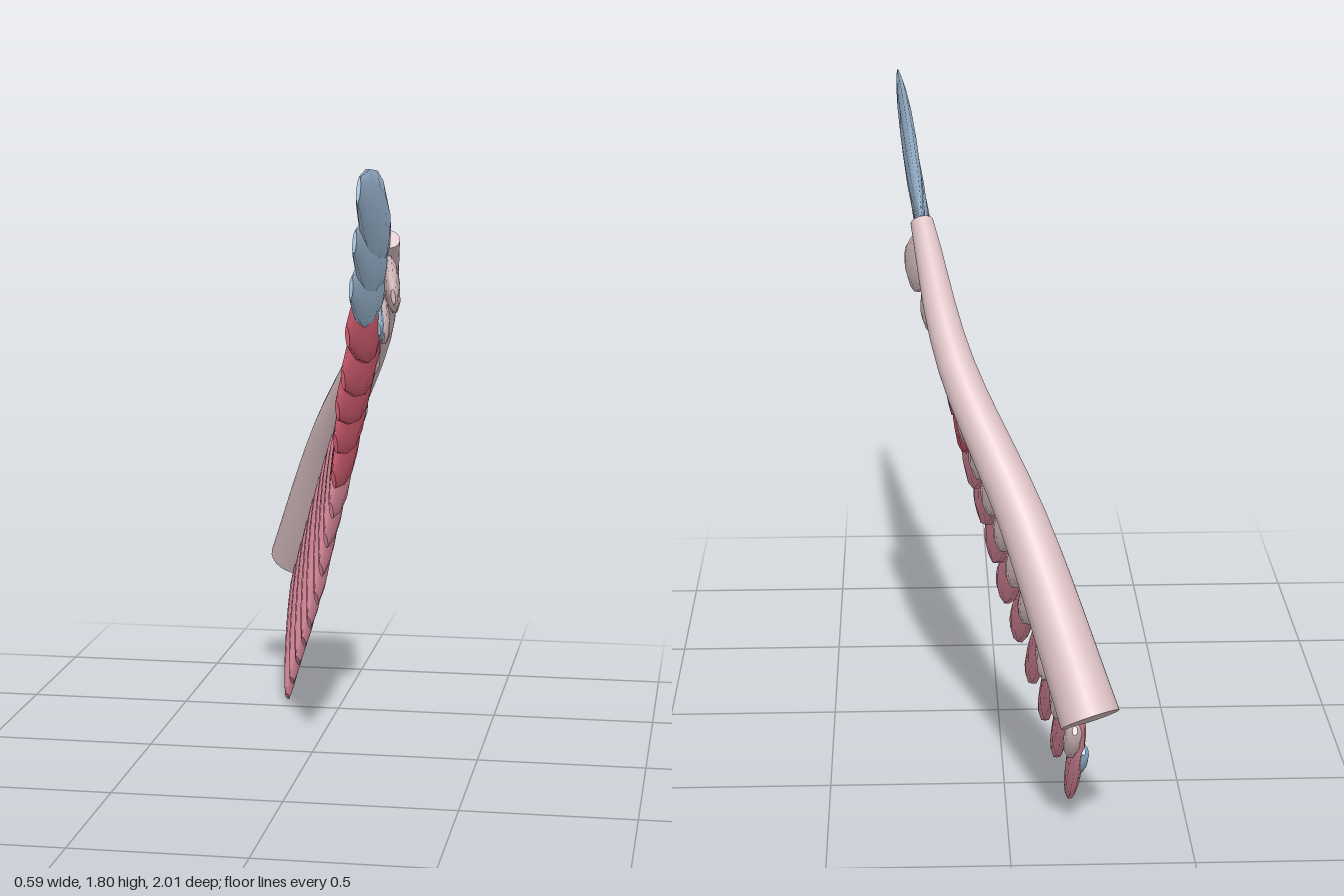
import * as THREE from 'three';

const V = (x, y, z) => new THREE.Vector3(x, y, z);
const mat = (name, color) => {
  const m = new THREE.MeshStandardMaterial({ color });
  m.name = name;
  return m;
};

// Skin between rings of points, closed by flat caps
function loft(rings) {
  const pos = [], idx = [], n = rings[0].length;
  rings.forEach(r => r.forEach(p => pos.push(p.x, p.y, p.z)));
  for (let i = 0; i < rings.length - 1; i++) {
    for (let j = 0; j < n; j++) {
      const a = i * n + j, b = i * n + (j + 1) % n;
      idx.push(a, b, b + n, a, b + n, a + n);
    }
  }
  [rings[0], rings[rings.length - 1]].forEach((r, end) => {
    const s = pos.length / 3;
    r.forEach(p => pos.push(p.x, p.y, p.z));
    for (let j = 1; j < n - 1; j++) {
      if (end) idx.push(s, s + j, s + j + 1);
      else idx.push(s, s + j + 1, s + j);
    }
  });
  const g = new THREE.BufferGeometry();
  g.setAttribute('position', new THREE.Float32BufferAttribute(pos, 3));
  g.setIndex(idx);
  g.computeVertexNormals();
  return g;
}

// Elliptical ring about direction d: n is the thickness axis, w the width axis
function ring(center, d, side, thick, width, count) {
  const n = side.clone().addScaledVector(d, -side.dot(d)).normalize();
  const w = d.clone().cross(n);
  return Array.from({ length: count }, (_, j) => {
    const t = j / count * Math.PI * 2;
    return center.clone().addScaledVector(n, Math.cos(t) * thick).addScaledVector(w, Math.sin(t) * width);
  });
}

// Station along the feather, share of full width, share of full thickness
const PROFILE = [[0, 0.25, 0.3], [0.1, 0.52, 0.65], [0.2, 0.76, 0.9], [0.4, 1, 1],
  [0.6, 0.97, 0.95], [0.8, 0.72, 0.75], [0.93, 0.43, 0.5], [1, 0.27, 0.25]];

function feather(root, tip, width, thick, bow, tilt) {
  const d = tip.clone().sub(root).normalize();
  const side = V(1, tilt, 0);
  const n = side.clone().addScaledVector(d, -side.dot(d)).normalize();
  const w = d.clone().cross(n);
  return loft(PROFILE.map(([s, pw, pt]) => {
    const c = root.clone().lerp(tip, s).addScaledVector(w, bow * Math.sin(Math.PI * s));
    return ring(c, d, side, thick / 2 * pt, width / 2 * pw, 10);
  }));
}

export function createModel() {
  const wing = new THREE.Group();
  wing.name = 'wing';
  const pale = mat('pale pink', 0xdcc1c4);
  const blue = mat('light blue', 0xa1bdd8);
  const red = mat('rose red', 0xcb596c);
  const pink = mat('pink', 0xd58698);
  const add = (parent, name, geo, m) => {
    const mesh = new THREE.Mesh(geo, m);
    mesh.name = name;
    parent.add(mesh);
  };
  const group = name => {
    const g = new THREE.Group();
    g.name = name;
    wing.add(g);
    return g;
  };

  // Tapered, bowed leading edge, running from tip end to shoulder
  const arm = new THREE.CatmullRomCurve3([V(0.22, 1.565, -0.035), V(0.135, 1.25, -0.355),
    V(-0.05, 0.87, -0.665), V(-0.215, 0.415, -0.935)]);
  const armRings = [];
  for (let i = 0; i <= 16; i++) {
    const t = i / 16, r = 0.033 + 0.05 * Math.pow(t, 0.8);
    armRings.push(ring(arm.getPointAt(t), arm.getTangentAt(t), V(1, 0, 0), r, r, 24));
  }
  add(wing, 'leadingEdge', loft(armRings), pale);

  // Flight feathers: tip x, y, z from the top down
  const tips = [[0.287, 1.78, 1], [0.262, 1.64, 0.9], [0.238, 1.51, 0.8], [0.213, 1.37, 0.7],
    [0.186, 1.24, 0.6], [0.165, 1.15, 0.565], [0.143, 1.04, 0.46], [0.122, 0.92, 0.36],
    [0.097, 0.81, 0.25], [0.065, 0.70, 0.15], [0.034, 0.59, 0.05], [0.003, 0.48, -0.05],
    [-0.035, 0.38, -0.145], [-0.075, 0.285, -0.28], [-0.11, 0.2, -0.37], [-0.143, 0.115, -0.45],
    [-0.178, 0.03, -0.565]];
  const flight = group('flightFeathers');
  tips.forEach((p, i) => {
    const u = i / 16;
    const root = arm.getPointAt(u * 0.98).add(V(0.01 * u, -0.01 - 0.02 * u, 0.01 + 0.03 * u));
    const width = i === 0 ? 0.25 : 0.225 - 0.05 * u;
    const bow = i === 0 ? 0 : -0.015 - 0.015 * u;
    add(flight, 'flightFeather' + (i + 1),
      feather(root, V(...p), width, 0.045, bow, i < 3 ? -0.05 : 0.1),
      i < 3 ? blue : i < 8 ? red : pink);
  });

  // Coverts on the outer face: first and last base and tip as [z, y]
  const outer = (z, y, off) => V(-0.156 + 0.244 * y + 0.157 * z + off, y, z);
  const mix = THREE.MathUtils.lerp;
  const rows = [
    { count: 3, base: [[-0.18, 1.45], [-0.32, 1.24]], tip: [[0.18, 1.42], [-0.03, 1.18]], width: [0.165, 0.11], shift: [-0.04, -0.1] },
    { count: 6, base: [[-0.46, 1.09], [-0.735, 0.67]], tip: [[-0.145, 1.03], [-0.49, 0.57]], width: [0.15, 0.12], shift: [0.035, -0.035] },
    { count: 3, base: [[-0.75, 0.58], [-0.93, 0.38]], tip: [[-0.66, 0.43], [-0.76, 0.25]], width: [0.15, 0.1], shift: [0.025, -0.065] },
  ];
  const coverts = group('coverts');
  rows.forEach(({ count, base, tip, width, shift }) => {
    for (let i = 0; i < count; i++) {
      const t = i / (count - 1);
      const bz = mix(base[0][0], base[1][0], t), by = mix(base[0][1], base[1][1], t);
      const tz = mix(tip[0][0], tip[1][0], t), ty = mix(tip[0][1], tip[1][1], t);
      const w = mix(width[0], width[1], t);
      add(coverts, 'covert', feather(outer(bz, by, 0.035), outer(tz, ty, 0.045), w, 0.05, 0, 0.1), pale);
      add(coverts, 'underCovert', feather(outer(mix(bz, tz, 0.2) + shift[0], mix(by, ty, 0.2) + shift[1], 0.02),
        outer(tz + shift[0], ty + shift[1], 0.03), w * 0.8, 0.04, 0, 0.1), blue);
    }
  });
  return wing;
}
